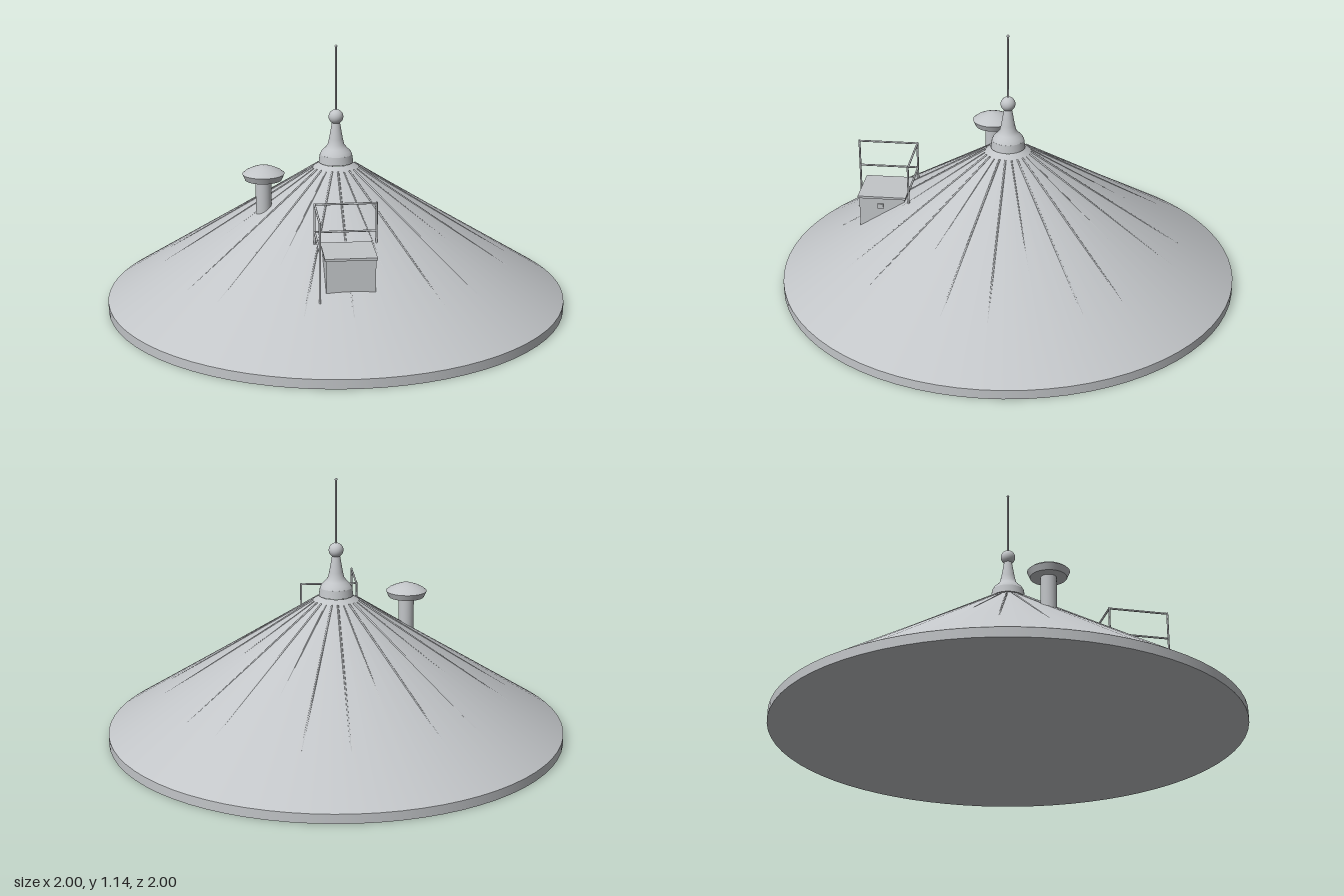
import * as THREE from 'three';

export function createModel() {
  const metal = new THREE.MeshStandardMaterial({ color: 0xc2c5c8 });
  metal.name = 'light grey metal';
  const model = new THREE.Group();
  model.name = 'conicalRoof';

  const group = (parent, name) => {
    const g = new THREE.Group();
    g.name = name;
    parent.add(g);
    return g;
  };
  const add = (parent, name, geometry, x = 0, y = 0, z = 0) => {
    const mesh = new THREE.Mesh(geometry, metal);
    mesh.name = name;
    mesh.position.set(x, y, z);
    parent.add(mesh);
    return mesh;
  };
  // Straight round bar between two points
  const bar = (parent, name, a, b, radius, sides = 8) => {
    const from = new THREE.Vector3(...a), to = new THREE.Vector3(...b);
    const dir = to.clone().sub(from);
    const mesh = add(parent, name, new THREE.CylinderGeometry(radius, radius, dir.length(), sides));
    mesh.position.copy(from).add(to).multiplyScalar(0.5);
    mesh.quaternion.setFromUnitVectors(new THREE.Vector3(0, 1, 0), dir.normalize());
  };
  const lathe = (points) =>
    new THREE.LatheGeometry(points.map(([r, y]) => new THREE.Vector2(r, y)), 32);

  // Roof cone, edge band and flat underside
  const eave = 0.04, top = 0.625, topRadius = 0.07;
  const slope = (top - eave) / (1 - topRadius);
  const surface = (r) => eave + (1 - r) * slope;
  add(model, 'roofCone', new THREE.CylinderGeometry(topRadius, 1, top - eave, 72, 1, true), 0, (top + eave) / 2, 0);
  add(model, 'edgeBand', new THREE.CylinderGeometry(1, 1, eave, 72, 1, true), 0, eave / 2, 0);
  add(model, 'underside', new THREE.CircleGeometry(1, 72)).rotation.x = Math.PI / 2;

  // Radial seams that sink into the roof on the way down, every third one slimmer
  const seams = group(model, 'seams');
  for (let i = 0; i < 24; i++) {
    const a = (i * Math.PI) / 12;
    const slim = i % 3 === 0;
    const at = (r, lift) => [r * Math.sin(a), surface(r) + lift, r * Math.cos(a)];
    bar(seams, 'seam', at(0.1, slim ? 0 : 0.002), at(slim ? 0.63 : 0.75, -0.004), slim ? 0.003 : 0.004, 6);
  }

  // Finial: collar, bell, ball and rod
  const finial = group(model, 'finial');
  add(finial, 'collar', new THREE.CylinderGeometry(0.07, 0.075, 0.035, 32), 0, 0.645, 0);
  add(finial, 'bell', lathe([[0.07, 0.662], [0.062, 0.677], [0.047, 0.691], [0.036, 0.706], [0.03, 0.73], [0.023, 0.77], [0.016, 0.81]]));
  add(finial, 'ball', new THREE.SphereGeometry(0.032, 24, 16), 0, 0.828, 0);
  bar(finial, 'rod', [0, 0.85, 0], [0, 1.138, 0], 0.004);
  add(finial, 'rodTip', new THREE.SphereGeometry(0.006, 10, 8), 0, 1.136, 0);

  // Vent pipe with a mushroom cap
  const vent = group(model, 'vent');
  vent.position.set(-0.225, 0, 0.25);
  add(vent, 'ventPipe', new THREE.CylinderGeometry(0.034, 0.034, 0.2, 24), 0, 0.5, 0);
  add(vent, 'capSkirt', new THREE.CylinderGeometry(0.09, 0.078, 0.027, 32), 0, 0.5985, 0);
  add(vent, 'capDome', lathe([[0.09, 0.612], [0.075, 0.624], [0.05, 0.636], [0.025, 0.645], [0, 0.648]]));

  // Access hatch; local z points down the slope
  const hatch = group(model, 'hatch');
  hatch.rotation.y = Math.PI / 6;
  add(hatch, 'hatchBox', new THREE.BoxGeometry(0.2, 0.138, 0.2), 0, 0.329, 0.544);
  add(hatch, 'hatchLid', new THREE.BoxGeometry(0.212, 0.01, 0.212), 0, 0.4, 0.544);
  add(hatch, 'hatchLatch', new THREE.BoxGeometry(0.012, 0.022, 0.025), 0.102, 0.36, 0.55);

  // Guard rail around two sides of the hatch
  const rail = group(hatch, 'guardRail');
  const posts = [[0.128, 0.42], [-0.128, 0.42], [-0.128, 0.682]];
  for (const [x, z] of posts) bar(rail, 'railPost', [x, surface(Math.hypot(x, z)), z], [x, 0.567, z], 0.0045);
  for (const y of [0.445, 0.563]) {
    for (let i = 0; i < 2; i++) {
      const [a, b] = [posts[i], posts[i + 1]];
      bar(rail, 'railBar', [a[0], y, a[1]], [b[0], y, b[1]], 0.0045);
    }
  }
  return model;
}
